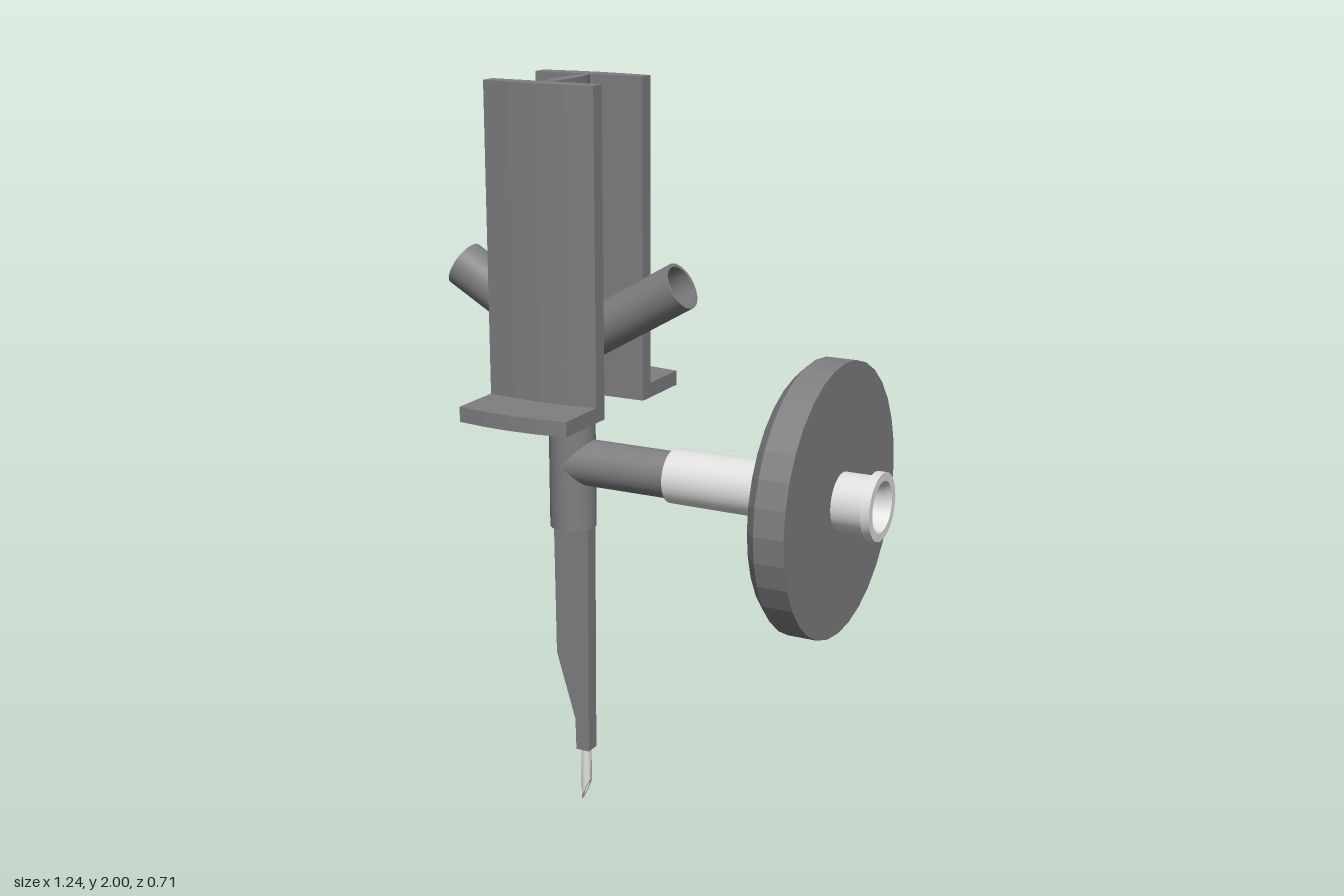
import * as THREE from 'three';
import { toCreasedNormals } from 'three/addons/utils/BufferGeometryUtils.js';

const AXIS = -0.265; // x of the upright barrel

export function createModel() {
  const root = new THREE.Group();
  root.name = 'needleDevice';
  const grey = new THREE.MeshStandardMaterial({ color: 0x7f7f82 });
  grey.name = 'mid grey plastic';
  const pale = new THREE.MeshStandardMaterial({ color: 0xe0e0de });
  pale.name = 'pale metal';

  const add = (name, geometry, material) => {
    const mesh = new THREE.Mesh(geometry, material);
    mesh.name = name;
    root.add(mesh);
    return mesh;
  };
  // Turned part along +y; the profile runs up the outside and down the inside
  const turned = (points, sides = 32, crease = 0.5) => toCreasedNormals(
    new THREE.LatheGeometry(points.map(([r, y]) => new THREE.Vector2(r, y)), sides), crease);
  // Flat plate drawn in x,y and centred on z = 0
  const plate = (points, depth) => {
    const shape = new THREE.Shape(points.map(([x, y]) => new THREE.Vector2(x, y)));
    return new THREE.ExtrudeGeometry(shape, { depth, bevelEnabled: false });
  };

  // Upright barrel
  add('barrel', turned([[0, 0.81], [0.0625, 0.81], [0.0625, 1.31], [0, 1.31]]), grey)
    .position.x = AXIS;

  // Two open tubes that branch upward from the barrel
  for (const side of [-1, 1]) {
    const length = 0.376;
    const tube = add(side < 0 ? 'rightBranchTube' : 'leftBranchTube', turned([
      [0, 0], [0.063, 0], [0.063, length], [0.054, length], [0.054, 0.06], [0, 0.06],
    ]), grey);
    tube.position.set(AXIS, 1.307, 0);
    tube.rotation.z = -side * Math.PI / 3;
  }

  // Grip plates with gently bowed outer faces and a foot ledge
  const bowed = (edge, crown) => {
    const points = [[-0.158, 0.105], [0.158, 0.105]];
    for (let i = 0; i <= 4; i++) {
      const t = 1 - i / 2;
      points.push([0.158 * t, crown - (crown - edge) * t * t]);
    }
    return points;
  };
  for (const side of [-1, 1]) {
    const label = side < 0 ? 'back' : 'front';
    const parts = [
      ['GripPlate', bowed(0.148, 0.162), 1.15, 0.85],
      ['GripLedge', bowed(0.298, 0.313), 1.15, 0.04],
    ];
    for (const [name, points, y, height] of parts) {
      const geometry = plate(points, height).rotateX(-Math.PI / 2);
      if (side > 0) geometry.rotateY(Math.PI);
      add(label + name, geometry, grey).position.set(AXIS, y, 0);
    }
  }

  // Thin lens-shaped web joining the grips
  const web = new THREE.CylinderGeometry(1, 1, 0.85, 24).scale(0.02, 1, 0.108);
  add('gripWeb', web, grey).position.set(AXIS, 1.575, 0);

  // Side port, pale sleeve with open lipped end, and bevelled disc
  const sidePart = (name, points, material, sides, crease) => {
    const mesh = add(name, turned(points, sides, crease), material);
    mesh.rotation.z = -Math.PI / 2;
    mesh.position.y = 0.992;
  };
  sidePart('sidePort', [[0, AXIS], [0.0625, AXIS], [0.0625, 0.1], [0, 0.1]], grey);
  sidePart('sleeve', [
    [0.0575, 0.04], [0.073, 0.04], [0.075, 0.597], [0.088, 0.597],
    [0.088, 0.62], [0.066, 0.62], [0.0575, 0.6], [0.0575, 0.04],
  ], pale);
  sidePart('disc', [
    [0.06, 0.403], [0.325, 0.403], [0.354, 0.432], [0.354, 0.512], [0.06, 0.512],
  ], grey, 32, 0.05);

  // Flat tapering shank
  add('shank', plate([
    [-0.314, 0.815], [-0.311, 0.44], [-0.255, 0.25], [-0.253, 0.16],
    [-0.213, 0.16], [-0.209, 0.815],
  ], 0.042), grey).position.z = -0.021;

  // Hollow needle with a slanted point
  const r = 0.0145;
  const needle = new THREE.LatheGeometry([
    [0.009, 0], [r, 0], [r, 0.165], [0.009, 0.165], [0.009, 0],
  ].map(([x, y]) => new THREE.Vector2(x, y)), 20);
  const pos = needle.attributes.position;
  for (let i = 0; i < pos.count; i++) {
    if (pos.getY(i) < 0.01) pos.setY(i, (pos.getX(i) + r) * 2.4);
  }
  add('needle', toCreasedNormals(needle, 0.5), pale).position.x = -0.233;

  return root;
}
